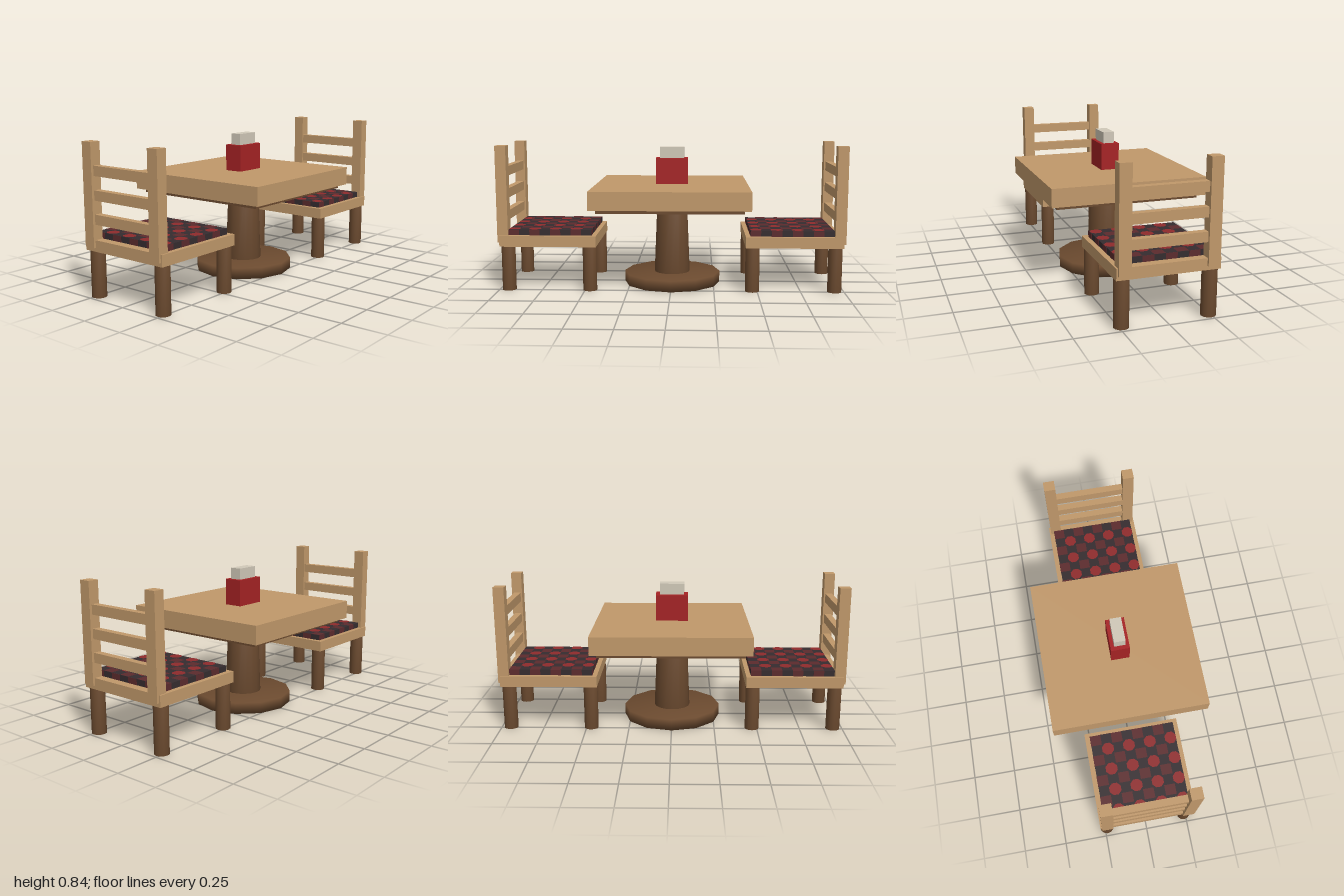
import * as THREE from 'three';
import { mergeVertices } from 'three/addons/utils/BufferGeometryUtils.js';

const material = (name, color, side = THREE.FrontSide) => {
  const m = new THREE.MeshStandardMaterial({ color, side });
  m.name = name;
  return m;
};

export function createModel() {
  const tan = material('light wood', 0xc0986a);
  const brown = material('dark wood', 0x6b4a2f);
  const red = material('holder red', 0xa52224);
  const paper = material('napkin paper', 0xd0c8b8);
  const dark = material('cushion charcoal', 0x352c2f);
  const maroon = material('cushion maroon', 0x5c2b2d);
  const spot = material('cushion red', 0x8f2b2c);

  const model = new THREE.Group();
  model.name = 'diningSet';

  const add = (parent, name, geometry, mat, x, y, z) => {
    const mesh = new THREE.Mesh(geometry, mat);
    mesh.name = name;
    mesh.position.set(x, y, z);
    parent.add(mesh);
    return mesh;
  };

  // Box given by its lower and upper limits
  const box = (parent, name, mat, [x0, x1], [y0, y1], [z0, z1]) =>
    add(parent, name, new THREE.BoxGeometry(x1 - x0, y1 - y0, z1 - z0), mat,
      (x0 + x1) / 2, (y0 + y1) / 2, (z0 + z1) / 2);

  // Turned wood: cylinder with normals shared between wall and caps
  const turned = (parent, name, rTop, rBottom, y0, y1, x, z, sides = 12) => {
    const g = new THREE.CylinderGeometry(rTop, rBottom, y1 - y0, sides);
    g.deleteAttribute('uv');
    g.deleteAttribute('normal');
    const smooth = mergeVertices(g);
    smooth.computeVertexNormals();
    return add(parent, name, smooth, brown, x, (y0 + y1) / 2, z);
  };

  // Table
  const table = new THREE.Group();
  table.name = 'table';
  model.add(table);
  box(table, 'tableTop', tan, [-0.45, 0.45], [0.497, 0.602], [-0.45, 0.45]);
  box(table, 'underPlate', brown, [-0.413, 0.413], [0.475, 0.497], [-0.413, 0.413]);
  turned(table, 'pedestal', 0.09, 0.107, 0.06, 0.48, 0, 0, 16);
  turned(table, 'pedestalBase', 0.288, 0.288, 0, 0.065, 0, 0);

  // Napkin holder
  const holder = new THREE.Group();
  holder.name = 'napkinHolder';
  model.add(holder);
  box(holder, 'holderBox', red, [-0.095, 0.095], [0.602, 0.755], [-0.054, 0.054]);
  box(holder, 'napkins', paper, [-0.072, 0.072], [0.755, 0.82], [-0.033, 0.033]);

  // Cushion with an 8 x 8 check of maroon squares and red spots
  const makeCushion = (x0, x1) => {
    const cushion = new THREE.Group();
    cushion.name = 'cushion';
    const z0 = -0.25, z1 = 0.25, y0 = 0.322, y1 = 0.356, t = 0.001, n = 8;
    const dx = (x1 - x0) / n, dz = (z1 - z0) / n;
    box(cushion, 'cushionBody', dark, [x0, x1], [y0, y1], [z0, z1]);

    const octagon = new THREE.CircleGeometry(0.037, 8, Math.PI / 8).rotateX(-Math.PI / 2);
    const square = new THREE.PlaneGeometry(dx, dz).rotateX(-Math.PI / 2);
    for (let row = 0; row < n; row++) {
      for (let col = 0; col < n; col++) {
        if ((row + col) % 2 === 0) continue;
        const x = x0 + (col + 0.5) * dx, z = z0 + (row + 0.5) * dz;
        if (row % 2 === 0) {
          add(cushion, 'maroonSquare', square, maroon, x, y1 + t, z);
        } else {
          // Spots are cut off at the cushion edge
          const g = octagon.clone(), p = g.attributes.position;
          for (let i = 0; i < p.count; i++) {
            p.setX(i, THREE.MathUtils.clamp(p.getX(i), x0 - x, x1 - x));
            p.setZ(i, THREE.MathUtils.clamp(p.getZ(i), z0 - z, z1 - z));
          }
          add(cushion, 'redSpot', g, spot, x, y1 + 2 * t, z);
        }
      }
    }

    // Checks along the four sides
    for (let i = 0; i < n; i += 2) {
      const xa = x0 + i * dx, za = z0 + i * dz;
      box(cushion, 'frontCheck', maroon, [xa, xa + dx], [y0, y1], [z1, z1 + t]);
      box(cushion, 'backCheck', maroon, [xa + dx, xa + 2 * dx], [y0, y1], [z0 - t, z0]);
      box(cushion, 'leftCheck', maroon, [x1, x1 + t], [y0, y1], [za + dz, za + 2 * dz]);
      box(cushion, 'rightCheck', maroon, [x0 - t, x0], [y0, y1], [za, za + dz]);
    }
    return cushion;
  };

  // Chairs, facing each other across the table
  for (const s of [1, -1]) {
    const chair = new THREE.Group();
    chair.name = s > 0 ? 'leftChair' : 'rightChair';
    model.add(chair);
    const span = (a, b) => (s > 0 ? [a, b] : [-b, -a]);

    box(chair, 'seat', tan, span(0.43, 0.988), [0.26, 0.323], [-0.279, 0.279]);
    chair.add(makeCushion(...span(0.458, 0.938)));
    for (const side of [1, -1]) {
      turned(chair, 'frontLeg', 0.041, 0.041, 0, 0.262, s * 0.471, side * 0.238);
      turned(chair, 'backLeg', 0.041, 0.041, 0, 0.262, s * 0.945, side * 0.238);
      const z = side > 0 ? [0.204, 0.27] : [-0.27, -0.204];
      box(chair, 'backPost', tan, span(0.938, 1), [0.282, 0.84], z);
    }
    for (const y of [0.433, 0.561, 0.69]) {
      box(chair, 'backSlat', tan, span(0.947, 0.986), [y - 0.027, y + 0.027], [-0.206, 0.206]);
    }
  }
  return model;
}
